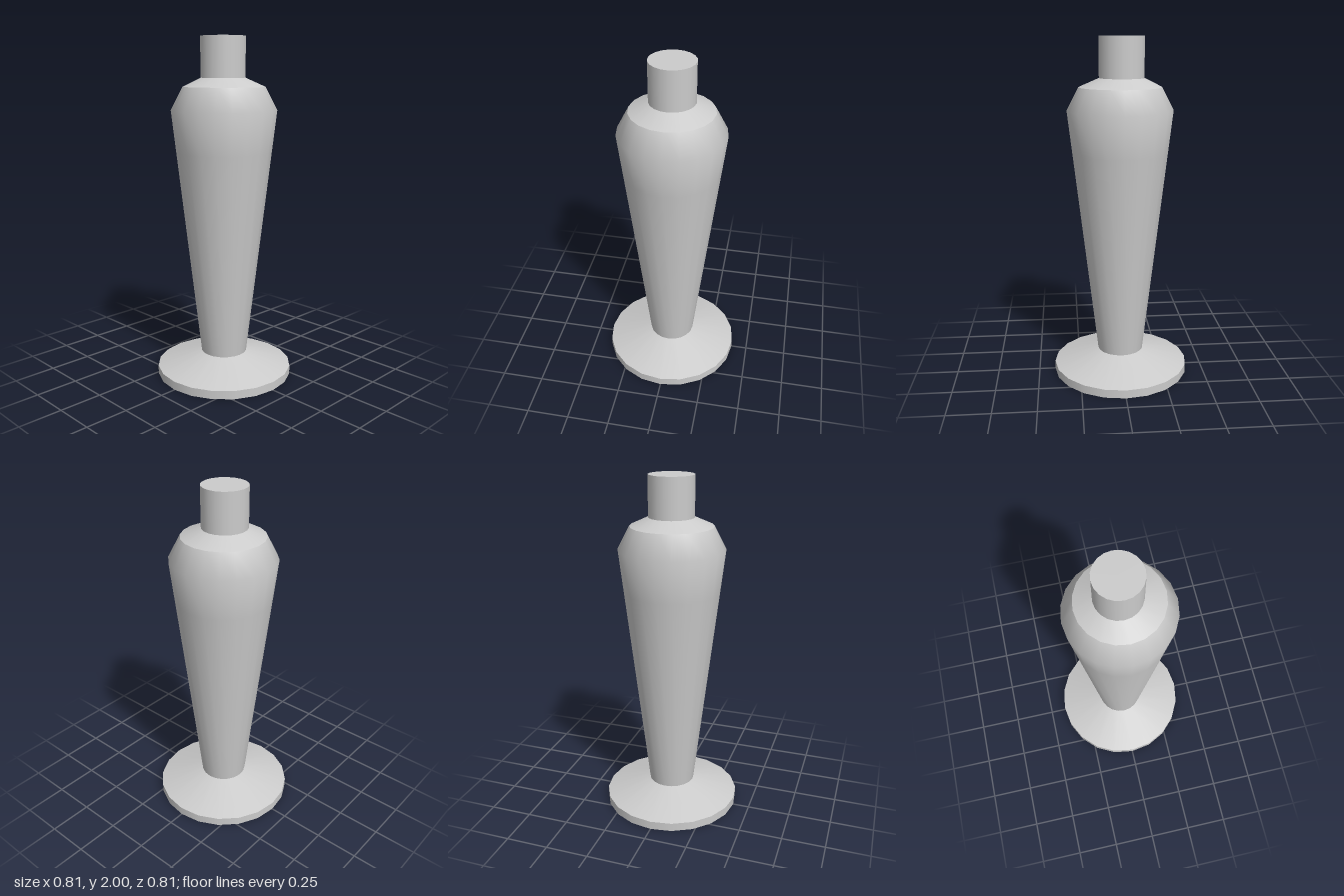
import * as THREE from 'three';

const SIDES = 20;
const NECK_SHIFT = -0.008; // the neck sits slightly off the axis
const NECK_R = 0.129;

export function createModel() {
  const group = new THREE.Group();
  const material = new THREE.MeshStandardMaterial({ color: 0xcccccc });

  // Turns a profile of [radius, height] points; each call has its own smooth normals
  function turn(name, profile) {
    const points = profile.map(([r, y]) => new THREE.Vector2(r, y));
    const mesh = new THREE.Mesh(new THREE.LatheGeometry(points, SIDES), material);
    mesh.name = name;
    group.add(mesh);
    return mesh;
  }

  // Foot: underside, rim and sloping top
  turn('footUnderside', [[0, 0], [0.403, 0]]);
  turn('footRim', [[0.403, 0], [0.403, 0.05]]);
  turn('footSlope', [[0.403, 0.05], [0.136, 0.135]]);

  // Tapered body, smooth around the shoulder bend
  turn('body', [[0.136, 0.135], [0.277, 1.35], [0.305, 1.59], [0.237, 1.72]]);

  // Collar leaning in to meet the off-axis neck
  const collar = turn('collar', [[0.237, 1.72], [NECK_R, 1.77]]);
  const pos = collar.geometry.attributes.position;
  for (let i = 0; i < pos.count; i++) {
    if (pos.getY(i) > 1.75) pos.setX(i, pos.getX(i) + NECK_SHIFT);
  }

  // Neck and its flat cap
  turn('neck', [[NECK_R, 1.77], [NECK_R, 2]]).position.x = NECK_SHIFT;
  turn('neckCap', [[NECK_R, 2], [0, 2]]).position.x = NECK_SHIFT;

  return group;
}
